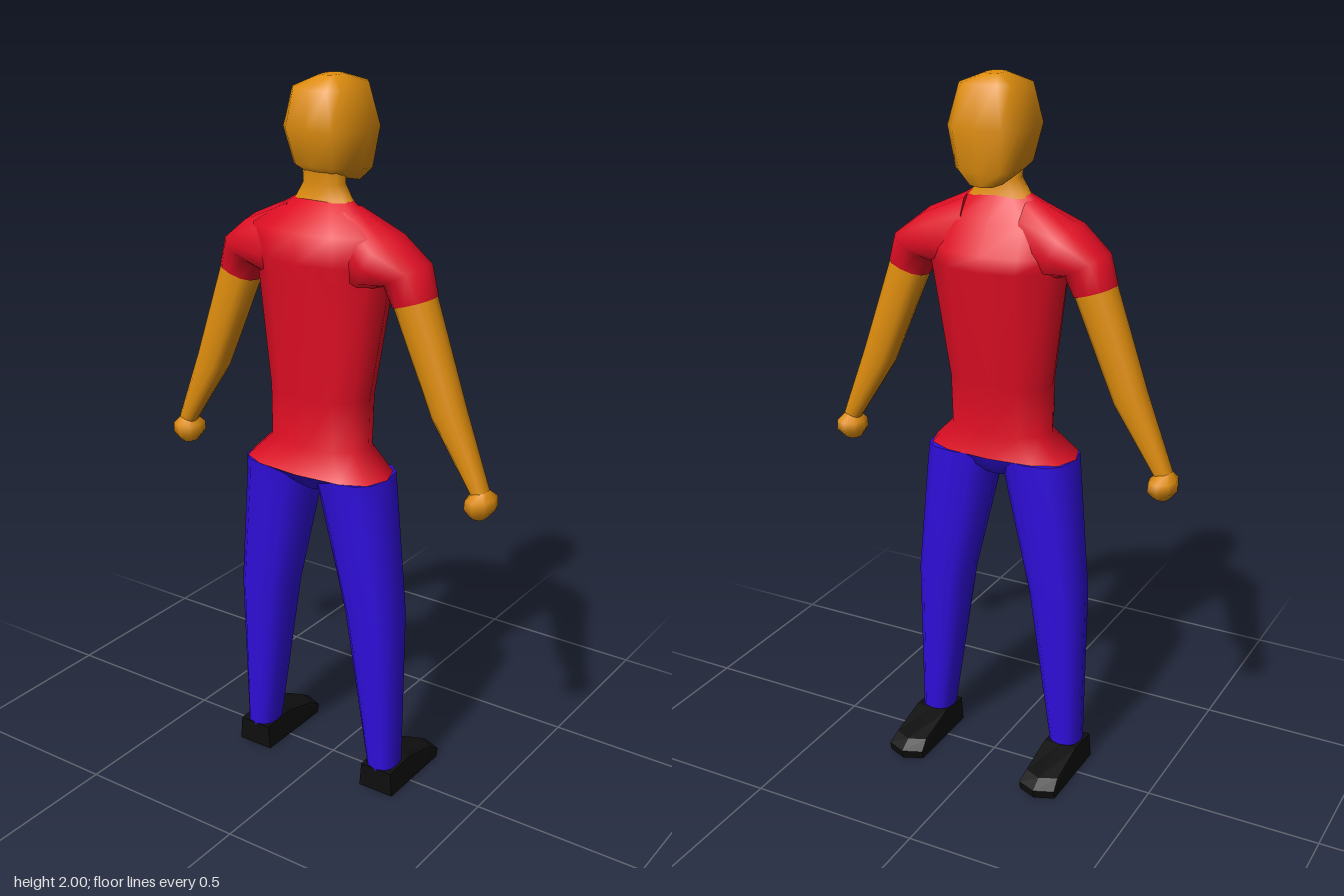
import * as THREE from 'three';

const flat = (name, color) => {
  const m = new THREE.MeshStandardMaterial({ color });
  m.name = name;
  return m;
};

// One cross-section: spans (x0,y0)-(x1,y1) sideways and z0-z1 in depth.
// p < 1 makes it boxier, tilt raises y with z.
function ring([x0, y0, x1, y1, z0, z1, p = 0.85, tilt = 0], n) {
  const pts = [];
  const pw = v => Math.sign(v) * Math.pow(Math.abs(v), p);
  for (let i = 0; i < n; i++) {
    const a = (i / n) * Math.PI * 2;
    const u = 0.5 + 0.5 * pw(Math.cos(a)), w = 0.5 + 0.5 * pw(Math.sin(a));
    pts.push([x0 + (x1 - x0) * u, y0 + (y1 - y0) * u + tilt * (w - 0.5), z0 + (z1 - z0) * w]);
  }
  return pts;
}

// Smooth skin through cross-sections listed from low to high, with flat caps
function loft(sections, n = 12) {
  const rings = sections.map(s => ring(s, n));
  const pos = rings.flat(2), index = [];
  for (let r = 0; r < rings.length - 1; r++) {
    for (let i = 0; i < n; i++) {
      const a = r * n + i, b = r * n + (i + 1) % n;
      index.push(a, a + n, b, b, a + n, b + n);
    }
  }
  [rings[0], rings[rings.length - 1]].forEach((pts, top) => {
    const s = pos.length / 3;
    pos.push(...pts.flat());
    for (let i = 1; i < n - 1; i++) index.push(s, s + (top ? i + 1 : i), s + (top ? i : i + 1));
  });
  const g = new THREE.BufferGeometry();
  g.setAttribute('position', new THREE.Float32BufferAttribute(pos, 3));
  g.setIndex(index);
  g.computeVertexNormals();
  return g;
}

// Level section centred on x = 0
const level = (y, hw, z0, z1, p, tilt) => [-hw, y, hw, y, z0, z1, p, tilt];

// Sections for the left side, mirrored to the right when side is -1
const sided = (list, side) => side > 0 ? list
  : list.map(([x0, y0, x1, y1, ...rest]) => [-x1, y1, -x0, y0, ...rest]);

// Shoe: side profile swept across the width, toe pointed in the middle
function shoeGeometry() {
  const profile = new THREE.Shape([[-0.1, 0], [0.15, 0], [0.155, 0.025], [0.12, 0.048], [0, 0.078], [-0.1, 0.072]]
    .map(p => new THREE.Vector2(...p)));
  const g = new THREE.ExtrudeGeometry(profile, { depth: 0.11, steps: 2, bevelEnabled: false });
  g.translate(0, 0, -0.055).rotateY(Math.PI / 2);
  const p = g.attributes.position;
  for (let i = 0; i < p.count; i++) {
    if (Math.abs(p.getX(i)) < 0.01 && p.getZ(i) < -0.11) p.setZ(i, p.getZ(i) - 0.023);
    if (p.getY(i) > 0.04) p.setX(i, p.getX(i) * 0.9);
  }
  g.computeVertexNormals();
  return g;
}

export function createModel() {
  const skin = flat('skin', 0xe08e0e), red = flat('shirtRed', 0xe00e24);
  const blue = flat('trouserBlue', 0x300fdd), black = flat('shoeBlack', 0x0e0e0e);
  const model = new THREE.Group();
  model.name = 'standingFigure';
  const add = (name, geometry, material) => {
    const m = new THREE.Mesh(geometry, material);
    m.name = name;
    model.add(m);
    return m;
  };

  // Head and neck
  add('head', loft([
    level(1.738, 0.055, -0.082, 0.07, 0.75, 0.035),
    level(1.768, 0.092, -0.096, 0.095, 0.7, 0.02),
    level(1.87, 0.112, -0.112, 0.123, 0.7),
    level(1.975, 0.082, -0.093, 0.113, 0.7, -0.01),
    level(2, 0.025, -0.03, 0.04, 0.8),
  ]), skin);
  add('neck', loft([
    level(1.66, 0.11, -0.01, 0.09),
    level(1.695, 0.082, 0, 0.078),
    level(1.73, 0.06, 0.002, 0.074),
    level(1.78, 0.06, 0, 0.08),
  ]), skin);

  // Shirt body
  add('shirtBody', loft([
    level(0.96, 0.22, -0.045, 0.173, 0.75),
    level(1.03, 0.152, -0.03, 0.135),
    level(1.17, 0.152, -0.042, 0.14),
    level(1.5, 0.2, -0.1, 0.165, 1),
    level(1.54, 0.205, -0.09, 0.17, 1),
    level(1.62, 0.2, -0.045, 0.17, 1),
    level(1.69, 0.087, 0, 0.08, 1),
  ]), red);

  // Seat of the trousers
  add('seat', loft([
    level(0.9, 0.05, 0, 0.11),
    level(0.93, 0.14, -0.03, 0.145),
    level(0.961, 0.218, -0.044, 0.172, 0.75),
  ]), blue);

  for (const side of [1, -1]) {
    const label = side > 0 ? 'left' : 'right';
    add(label + 'Sleeve', loft(sided([
      [0.222, 1.437, 0.335, 1.475, -0.02, 0.09],
      [0.2, 1.49, 0.31, 1.555, -0.035, 0.105],
      [0.14, 1.47, 0.22, 1.625, -0.052, 0.14],
      [0.07, 1.45, 0.09, 1.685, -0.04, 0.12],
    ], side)), red);
    add(label + 'Arm', loft(sided([
      [0.465, 0.97, 0.51, 0.99, 0.012, 0.062],
      [0.342, 1.16, 0.43, 1.2, -0.005, 0.075],
      [0.224, 1.44, 0.333, 1.477, -0.018, 0.088],
      [0.215, 1.47, 0.315, 1.52, -0.01, 0.08],
    ], side)), skin);
    add(label + 'Hand', loft(sided([
      [0.462, 0.914, 0.505, 0.91, 0.012, 0.06],
      [0.447, 0.938, 0.53, 0.94, -0.016, 0.082],
      [0.45, 0.963, 0.527, 0.968, -0.016, 0.082],
      [0.467, 0.98, 0.507, 0.99, 0.012, 0.062],
    ], side), 8), skin);
    add(label + 'Leg', loft(sided([
      [0.17, 0.06, 0.26, 0.06, 0, 0.1],
      [0.098, 0.55, 0.262, 0.55, -0.025, 0.13],
      [0.018, 0.9, 0.228, 0.9, -0.041, 0.155],
      [0.003, 0.96, 0.218, 0.96, -0.043, 0.162, 0.75],
    ], side)), blue);
    add(label + 'Shoe', shoeGeometry(), black).position.x = side * 0.217;
  }
  return model;
}
